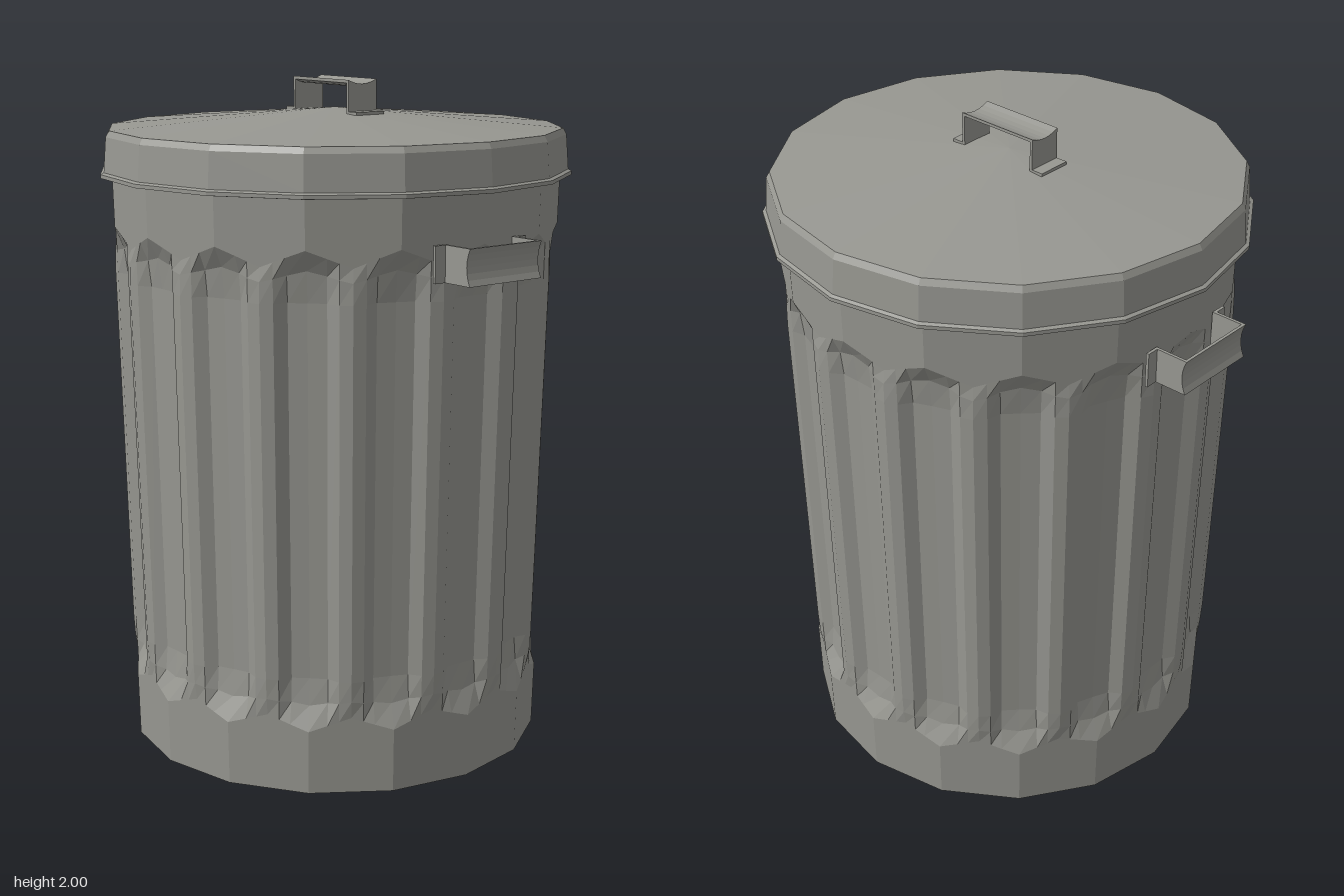
import * as THREE from 'three';

const SIDES = 16;
const STEP = (Math.PI * 2) / SIDES;
const DEG = Math.PI / 180;

// Can wall radius at a height (slight outward taper)
const wallRadius = (y) => 0.625 + 0.026 * y;
// Distance to the sixteen-sided outline, a = angle from the nearest lower corner
const polygon = (a) => Math.cos(STEP / 2) / Math.cos(a - STEP / 2);

// Fluted can: plain bands above and below, recessed flutes on the corners between
function canGeometry() {
  const offsets = [0, 5, 8, 11.25, 14.5, 17.5];
  // recess (0 at the rib, 1 at the flute floor) for each offset
  const recess = [1, 0.9, 0.2, 0, 0.2, 0.9];
  const perRow = SIDES * offsets.length;
  // low/high: row height at a rib and at a flute centre, amount: flute strength
  const rows = [
    { rib: 0, flute: 0, amount: 0 },
    { rib: 0.23, flute: 0.19, amount: 0 },
    { rib: 0.28, flute: 0.26, amount: 0.75 },
    { rib: 0.34, flute: 0.34, amount: 1 },
    { rib: 1.43, flute: 1.43, amount: 1 },
    { rib: 1.49, flute: 1.52, amount: 0.75 },
    { rib: 1.53, flute: 1.58, amount: 0 },
    { rib: 1.74, flute: 1.74, amount: 0 },
  ];
  const pos = [];
  const index = [];
  for (const row of rows) {
    for (let i = 0; i < perRow; i++) {
      const k = i % offsets.length;
      const a = offsets[k] * DEG;
      const t = Math.floor(i / offsets.length) * STEP + a;
      const fromCorner = Math.min(a, STEP - a) / (STEP / 2);
      const y = THREE.MathUtils.lerp(row.flute, row.rib, fromCorner);
      const fluted = 0.995 - 0.06 * recess[k];
      const r = wallRadius(y) * THREE.MathUtils.lerp(polygon(a), fluted, row.amount);
      pos.push(r * Math.sin(t), y, r * Math.cos(t));
    }
  }
  for (let j = 0; j < rows.length - 1; j++) {
    for (let i = 0; i < perRow; i++) {
      const n = (i + 1) % perRow;
      const a = j * perRow + i, b = j * perRow + n;
      index.push(a, b, b + perRow, a, b + perRow, a + perRow);
    }
  }
  // closed floor
  const centre = pos.length / 3;
  pos.push(0, 0, 0);
  for (let i = 0; i < perRow; i++) index.push(centre, (i + 1) % perRow, i);
  const g = new THREE.BufferGeometry();
  g.setAttribute('position', new THREE.Float32BufferAttribute(pos, 3));
  g.setIndex(index);
  g.computeVertexNormals();
  return g;
}

// Bent strap handle with turned-out feet; its bar is dished across the width
function handleGeometry(height) {
  const w = 0.132, foot = 0.168, t = 0.009, dish = 0.013, half = 0.052;
  const top = height - dish;
  const right = [[foot, 0], [foot, t], [w, t], [w, top]];
  const inner = [[w - t, top - t], [w - t, 0]];
  const outline = [
    ...right,
    ...right.map(([x, y]) => [-x, y]).reverse(),
    ...inner.map(([x, y]) => [-x, y]).reverse(),
    ...inner,
  ];
  const shape = new THREE.Shape(outline.map(([x, y]) => new THREE.Vector2(x, y)));
  const g = new THREE.ExtrudeGeometry(shape, { depth: half * 2, steps: 6, bevelEnabled: false });
  g.translate(0, 0, -half);
  const p = g.attributes.position;
  for (let i = 0; i < p.count; i++) {
    if (p.getY(i) > top / 2) p.setY(i, p.getY(i) + dish * (p.getZ(i) / half) ** 2);
  }
  g.computeVertexNormals();
  return g;
}

export function createModel() {
  const model = new THREE.Group();
  model.name = 'trashCan';
  const metal = new THREE.MeshStandardMaterial({ color: 0x979791, flatShading: true });
  metal.name = 'galvanised grey';

  const add = (name, geometry) => {
    const mesh = new THREE.Mesh(geometry, metal);
    mesh.name = name;
    model.add(mesh);
    return mesh;
  };

  add('can', canGeometry());

  // Shallow conical lid with a skirt and a rolled lip
  const lidProfile = [
    [0, 1.735], [0.665, 1.735], [0.69, 1.72], [0.704, 1.722], [0.704, 1.733],
    [0.694, 1.738], [0.686, 1.84], [0.676, 1.858], [0, 1.914],
  ].map(([x, y]) => new THREE.Vector2(x, y));
  add('lid', new THREE.LatheGeometry(lidProfile, SIDES));

  add('lidHandle', handleGeometry(0.1)).position.y = 1.9;

  // Side handles: strap height points outward, strap width points up
  const sideGeometry = handleGeometry(0.108);
  sideGeometry.applyMatrix4(new THREE.Matrix4().makeBasis(
    new THREE.Vector3(0, 0, 1), new THREE.Vector3(1, 0, 0), new THREE.Vector3(0, 1, 0)));
  sideGeometry.translate(0.645, 0, 0);
  for (const [name, turn, y] of [['leftHandle', 0, 1.535], ['rightHandle', Math.PI, 1.53]]) {
    const handle = add(name, sideGeometry);
    handle.rotation.y = turn;
    handle.position.y = y;
  }
  return model;
}
